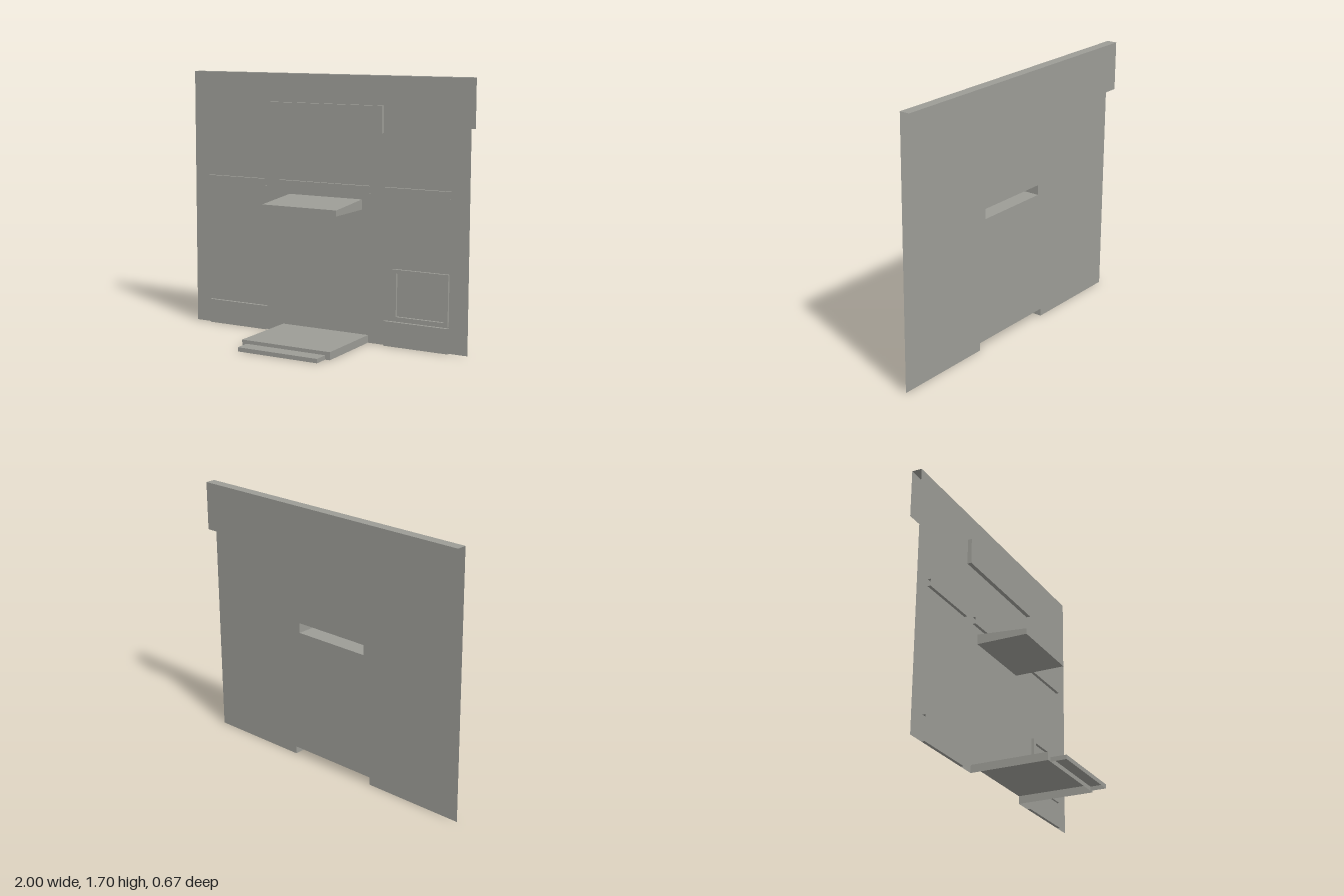
import * as THREE from 'three';

const WALL_Z = -0.27;

// Box between two corners that keeps only the listed sides
function shell(x0, x1, y0, y1, z0, z1, sides) {
  const order = ['left', 'right', 'top', 'bottom', 'front', 'back'];
  const box = new THREE.BoxGeometry(x1 - x0, y1 - y0, z1 - z0);
  const all = Array.from(box.index.array);
  box.setIndex(sides.flatMap((s) => all.slice(order.indexOf(s) * 6, order.indexOf(s) * 6 + 6)));
  box.translate((x0 + x1) / 2, (y0 + y1) / 2, (z0 + z1) / 2);
  const geometry = box.toNonIndexed();
  geometry.clearGroups();
  return geometry;
}

function rectPath(x0, x1, y0, y1) {
  const p = new THREE.Path();
  p.moveTo(x0, y0).lineTo(x0, y1).lineTo(x1, y1).lineTo(x1, y0).closePath();
  return p;
}

export function createModel() {
  const model = new THREE.Group();
  model.name = 'shopFacade';
  const grey = new THREE.MeshStandardMaterial({ color: 0x9c9c96, side: THREE.DoubleSide });
  grey.name = 'warmGrey';

  const add = (name, geometry) => {
    const mesh = new THREE.Mesh(geometry, grey);
    mesh.name = name;
    model.add(mesh);
  };
  const strip = ['top', 'bottom', 'front'];
  const noBack = ['left', 'right', 'top', 'bottom', 'front'];
  const noBottom = ['left', 'right', 'top', 'front'];

  // Wall sheet, notched for the step and slotted behind the canopy
  const wall = new THREE.Shape();
  [[-1, 0], [-0.315, 0], [-0.315, 0.05], [0.315, 0.05], [0.315, 0], [1, 0], [1, 1.7], [-1, 1.7]]
    .forEach(([x, y], i) => (i ? wall.lineTo(x, y) : wall.moveTo(x, y)));
  wall.holes.push(rectPath(-0.265, 0.265, 0.855, 0.92));
  add('wall', new THREE.ShapeGeometry(wall).translate(0, 0, WALL_Z));

  // Parapet: top ledge and hanging back flap, open at the ends
  add('parapet', shell(-1, 1, 1.39, 1.7, -0.335, WALL_Z, ['top', 'back']));

  // Sign board
  add('signBoard', shell(-0.415, 0.415, 1.345, 1.515, WALL_Z, -0.243, noBack));

  // Trim bars and base panels
  add('centreTrim', shell(-0.33, 0.33, 0.965, 1.01, WALL_Z, -0.25, strip));
  for (const [side, x0, x1] of [['left', 0.433, 0.877], ['right', -0.88, -0.436]]) {
    add(side + 'Trim', shell(x0, x1, 0.965, 1.01, WALL_Z, -0.25, strip));
    add(side + 'BasePanel', shell(x0, x1, 0, 0.16, WALL_Z, -0.25, strip));
  }

  // Canopy with its top sloping down to the front
  const canopy = shell(-0.265, 0.265, 0.855, 0.92, WALL_Z, 0.067, noBack);
  const pos = canopy.attributes.position;
  for (let i = 0; i < pos.count; i++) {
    if (pos.getY(i) > 0.9 && pos.getZ(i) > 0) pos.setY(i, 0.892);
  }
  canopy.computeVertexNormals();
  add('canopy', canopy);

  // Window frame ring around a recessed pane
  const frame = new THREE.Shape(rectPath(0.493, 0.873, 0.17, 0.497).getPoints());
  frame.holes.push(rectPath(0.519, 0.847, 0.195, 0.472));
  add('windowFrame', new THREE.ExtrudeGeometry(frame, { depth: 0.018, bevelEnabled: false })
    .translate(0, 0, WALL_Z + 0.001));

  // Entrance steps, open underneath
  add('upperStep', shell(-0.315, 0.315, 0, 0.05, WALL_Z, 0.232, noBottom));
  add('lowerStep', shell(-0.283, 0.283, 0, 0.027, 0.232, 0.333, noBottom));

  return model;
}
